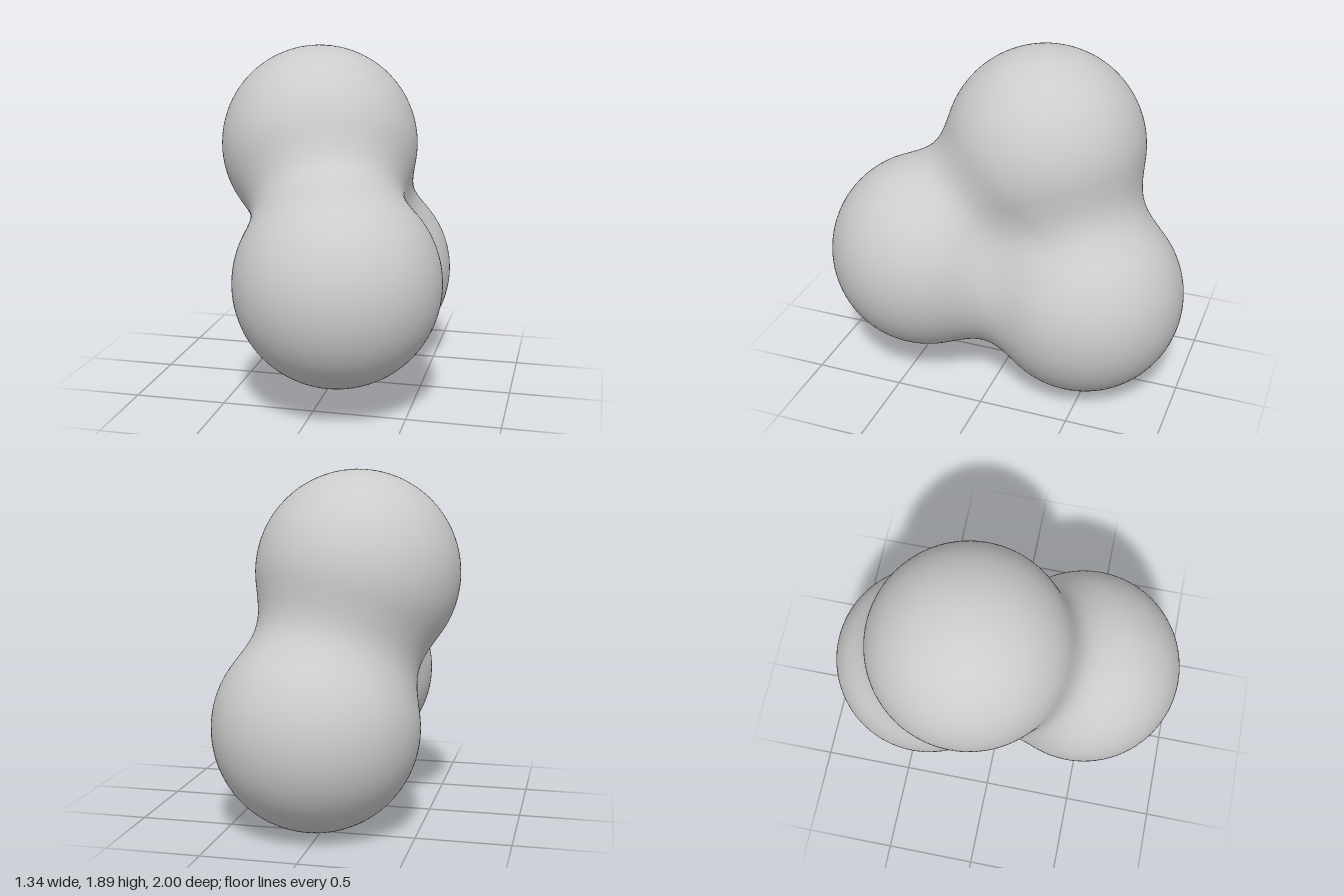
import * as THREE from 'three';
import { mergeVertices } from 'three/addons/utils/BufferGeometryUtils.js';

const RADIUS = 0.55;
const BLEND = 0.28; // width of the soft fillet between lobes
const LOBES = [
  new THREE.Vector3(-0.12, 1.34, -0.155), // upper lobe
  new THREE.Vector3(0.12, 0.705, 0.45),   // front lobe
  new THREE.Vector3(0.04, 0.55, -0.45),   // back lobe
];

// Smooth minimum: joins two distances with a rounded valley
function smoothMin(a, b) {
  const h = Math.max(BLEND - Math.abs(a - b), 0) / BLEND;
  return Math.min(a, b) - h * h * BLEND / 4;
}

// Signed distance to the three blended spheres
function distance(p) {
  return LOBES.map((c) => p.distanceTo(c) - RADIUS).reduce(smoothMin);
}

// Push a sphere's vertices outwards from the core until they meet the surface
function blendedGeometry() {
  let geo = new THREE.IcosahedronGeometry(1, 32);
  geo.deleteAttribute('uv');
  geo.deleteAttribute('normal');
  geo = mergeVertices(geo);
  const core = new THREE.Vector3().add(LOBES[0]).add(LOBES[1]).add(LOBES[2]).divideScalar(3);
  const pos = geo.attributes.position;
  const dir = new THREE.Vector3();
  const p = new THREE.Vector3();
  for (let i = 0; i < pos.count; i++) {
    dir.fromBufferAttribute(pos, i).normalize();
    let near = 0;
    let far = 1.5;
    for (let step = 0; step < 24; step++) {
      const mid = (near + far) / 2;
      p.copy(core).addScaledVector(dir, mid);
      if (distance(p) < 0) near = mid;
      else far = mid;
    }
    pos.setXYZ(i, p.x, p.y, p.z);
  }
  geo.computeVertexNormals();
  return geo;
}

export function createModel() {
  const group = new THREE.Group();
  group.name = 'threeLobedBlob';
  const body = new THREE.Mesh(
    blendedGeometry(),
    new THREE.MeshStandardMaterial({ color: 0xcccccc })
  );
  body.name = 'blendedLobes';
  group.add(body);
  return group;
}
